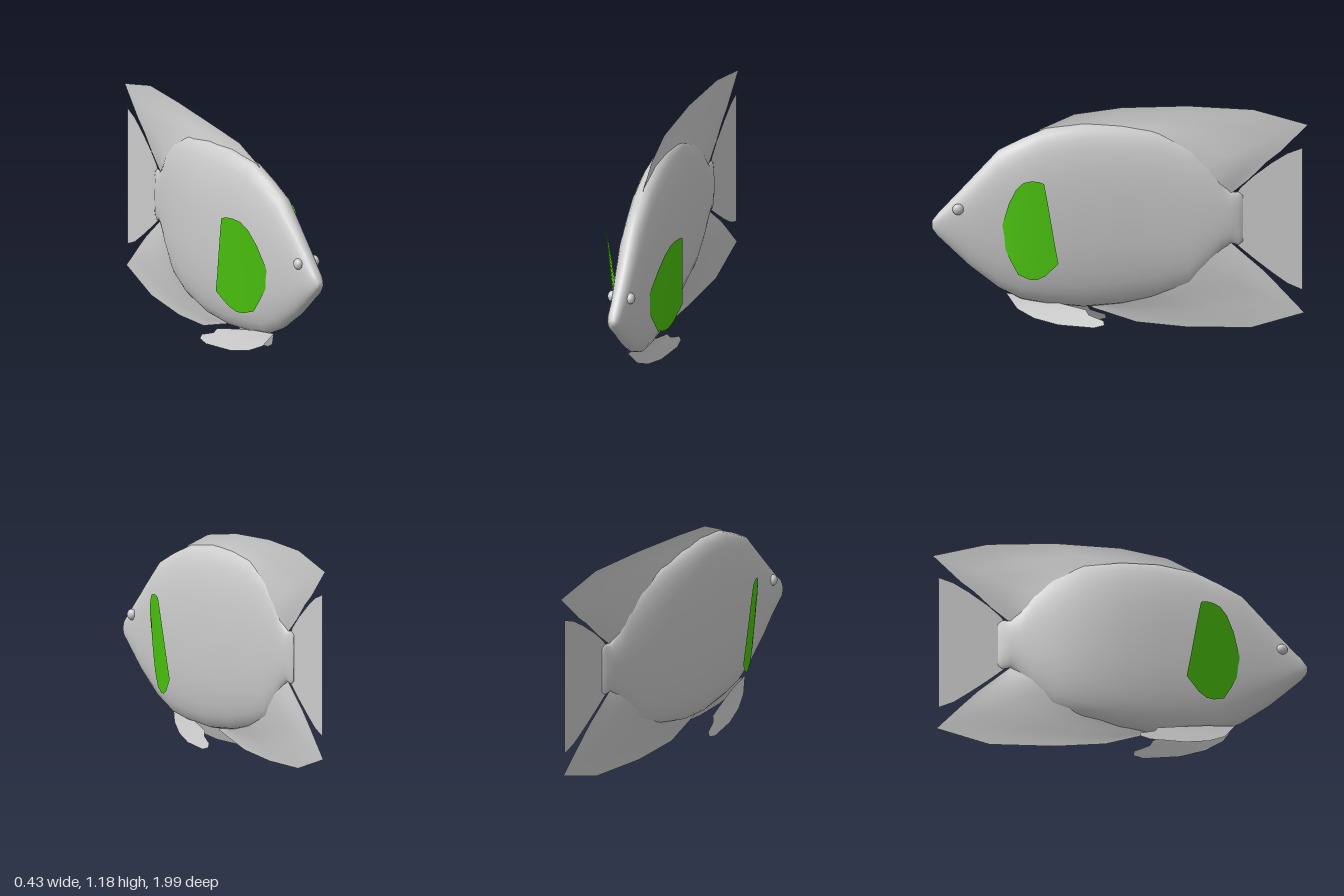
import * as THREE from 'three';

// Body stations, nose to tail: z, top, bottom, half width, centre x
const STATIONS = [
  [1.0, 0.57, 0.53, 0.02, 0.02],
  [0.97, 0.61, 0.49, 0.038, 0.02],
  [0.88, 0.705, 0.405, 0.052, 0.022],
  [0.8, 0.79, 0.33, 0.066, 0.02],
  [0.65, 0.95, 0.215, 0.088, 0.015],
  [0.53, 1.01, 0.155, 0.1, 0.01],
  [0.4, 1.065, 0.13, 0.108, 0.003],
  [0.2, 1.092, 0.112, 0.116, -0.008],
  [0, 1.085, 0.128, 0.114, -0.018],
  [-0.2, 1.055, 0.172, 0.098, -0.012],
  [-0.36, 0.98, 0.23, 0.074, 0.008],
  [-0.46, 0.9, 0.33, 0.056, 0.023],
  [-0.53, 0.79, 0.42, 0.04, 0.034],
  [-0.58, 0.735, 0.465, 0.03, 0.04],
  [-0.62, 0.74, 0.455, 0.018, 0.044],
  [-0.645, 0.72, 0.475, 0.006, 0.046],
  [-1.0, 0.72, 0.475, 0, 0.077], // centre line only, carried through the tail
];

// Sideways position of the bent spine at z
function spine(z) {
  let i = 0;
  while (i < STATIONS.length - 2 && STATIONS[i + 1][0] > z) i++;
  const a = STATIONS[i], b = STATIONS[i + 1];
  return THREE.MathUtils.lerp(a[4], b[4], THREE.MathUtils.clamp((a[0] - z) / (a[0] - b[0]), 0, 1));
}

// Surface from rows of points; wrap joins the last column to the first
function loft(rows, wrap = false) {
  const n = rows[0].length, index = [];
  for (let i = 0; i < rows.length - 1; i++) {
    for (let j = 0; j < (wrap ? n : n - 1); j++) {
      const k = (j + 1) % n;
      const a = i * n + j, b = a + n, c = (i + 1) * n + k, d = i * n + k;
      index.push(a, b, c, a, c, d);
    }
  }
  const geo = new THREE.BufferGeometry();
  geo.setAttribute('position', new THREE.Float32BufferAttribute(rows.flat(2), 3));
  geo.setIndex(index);
  geo.computeVertexNormals();
  return geo;
}

// Flat outline in (z, y), placed sideways by a rule
function sheet(outline, xRule) {
  const geo = new THREE.ShapeGeometry(new THREE.Shape(outline.map(([z, y]) => new THREE.Vector2(z, y))));
  const p = geo.attributes.position;
  for (let i = 0; i < p.count; i++) {
    const z = p.getX(i), y = p.getY(i);
    p.setXYZ(i, xRule(z, y), y, z);
  }
  geo.computeVertexNormals();
  return geo;
}

function bodyGeometry() {
  const SIDES = 32, rows = [];
  const ring = ([z, top, bottom, w, cx], s) => Array.from({ length: SIDES }, (_, j) => {
    const t = (j / SIDES) * Math.PI * 2, c = Math.cos(t), sn = Math.sin(t);
    const round = (v) => Math.sign(v) * Math.pow(Math.abs(v), 0.88);
    return [cx + s * w * round(c), (top + bottom) / 2 + s * (top - bottom) / 2 * round(sn), z];
  });
  const body = STATIONS.slice(0, -1);
  rows.push(ring(body[0], 0));
  body.forEach((st) => rows.push(ring(st, 1)));
  rows.push(ring(body[body.length - 1], 0));
  return loft(rows, true);
}

// Wedge fin side: pairs of [base z, base y, edge z, edge y], thick at the base
function finSide(pairs, side) {
  const STEPS = 8;
  return loft(pairs.map(([bz, by, ez, ey], i) => {
    const thick = 0.035 * Math.sin((i / (pairs.length - 1)) * Math.PI);
    return Array.from({ length: STEPS + 1 }, (_, j) => {
      const u = j / STEPS;
      const z = THREE.MathUtils.lerp(bz, ez, u);
      return [spine(z) + side * thick * Math.pow(1 - u, 1.6), THREE.MathUtils.lerp(by, ey, u), z];
    });
  }));
}

const DORSAL = [
  [0.45, 1.02, 0.43, 1.06], [0.3, 1.04, 0.25, 1.14], [0.1, 1.05, 0, 1.175],
  [-0.1, 1.03, -0.35, 1.19], [-0.26, 0.97, -0.7, 1.18], [-0.42, 0.87, -0.99, 1.105],
  [-0.47, 0.81, -0.84, 0.955], [-0.5, 0.77, -0.77, 0.9], [-0.53, 0.74, -0.68, 0.81], [-0.55, 0.71, -0.59, 0.735],
];
const ANAL = [
  [0.18, 0.14, 0.15, 0.105], [0.08, 0.16, -0.08, 0.03], [-0.08, 0.18, -0.35, 0.008],
  [-0.25, 0.23, -0.69, 0.015], [-0.4, 0.32, -0.97, 0.1], [-0.46, 0.38, -0.83, 0.245],
  [-0.49, 0.42, -0.75, 0.325], [-0.53, 0.46, -0.66, 0.4], [-0.55, 0.49, -0.58, 0.468],
];
const TAIL = [
  [-0.6, 0.715], [-0.63, 0.76], [-0.7, 0.825], [-0.8, 0.9], [-0.88, 0.95], [-0.96, 0.98],
  [-0.96, 0.222], [-0.88, 0.255], [-0.8, 0.31], [-0.7, 0.385], [-0.6, 0.465],
];
const PELVIC = [
  [0.61, 0.18], [0.55, 0.1], [0.46, 0.055], [0.33, 0.025], [0.14, 0.015], [0.085, 0.03],
  [0.09, 0.052], [0.13, 0.065], [0.17, 0.08], [0.185, 0.105], [0.3, 0.13], [0.45, 0.16],
];
// Pectoral rows: y, front z, back z
const PECTORAL = [
  [0.277, 0.48, 0.44], [0.3, 0.54, 0.395], [0.37, 0.58, 0.325], [0.48, 0.632, 0.345],
  [0.56, 0.625, 0.358], [0.68, 0.59, 0.378], [0.76, 0.55, 0.392], [0.8, 0.51, 0.4], [0.811, 0.47, 0.43],
];

function pectoralGeometry(side) {
  const [root, reach, power] = side > 0 ? [0.07, 0.12, 0.6] : [0.05, 0.15, 0.8];
  return loft(PECTORAL.map(([y, zf, zb]) => Array.from({ length: 9 }, (_, j) => {
    const z = THREE.MathUtils.lerp(zf, zb, j / 8);
    const s = Math.max(0, (0.635 - z) / 0.31);
    return [side * (root + reach * Math.pow(s, power) + 0.1 * (y - 0.37)), y, z];
  })));
}

export function createModel() {
  const fish = new THREE.Group();
  fish.name = 'fish';
  const grey = new THREE.MeshStandardMaterial({ color: 0xcccccc });
  const thin = new THREE.MeshStandardMaterial({ color: 0xcccccc, side: THREE.DoubleSide });
  const green = new THREE.MeshStandardMaterial({ color: 0x4cc80e, side: THREE.DoubleSide });
  const add = (name, geo, mat) => {
    const mesh = new THREE.Mesh(geo, mat);
    mesh.name = name;
    fish.add(mesh);
    return mesh;
  };

  add('body', bodyGeometry(), grey);
  add('tailFin', sheet(TAIL, (z) => spine(z)), thin);

  for (const side of [1, -1]) {
    const label = side > 0 ? 'left' : 'right';
    add(label + 'DorsalFinSide', finSide(DORSAL, side), thin);
    add(label + 'AnalFinSide', finSide(ANAL, side), thin);
    add(label + 'PectoralFin', pectoralGeometry(side), green);

    // Pelvic fins splay outward towards their tips
    add(label + 'PelvicFin', sheet(PELVIC, (z, y) => {
      const back = Math.max(0, (0.61 - z) / 0.5), down = Math.max(0, (0.18 - y) / 0.165);
      return -0.02 + side * 0.128 * Math.sqrt(back * down);
    }), thin);

    // Small bulging eyes
    const eye = add(label + 'Eye', new THREE.SphereGeometry(0.03, 16, 12), grey);
    eye.scale.x = 0.8;
    eye.position.set(0.024 + side * 0.051, 0.64, 0.86);
  }
  return fish;
}
